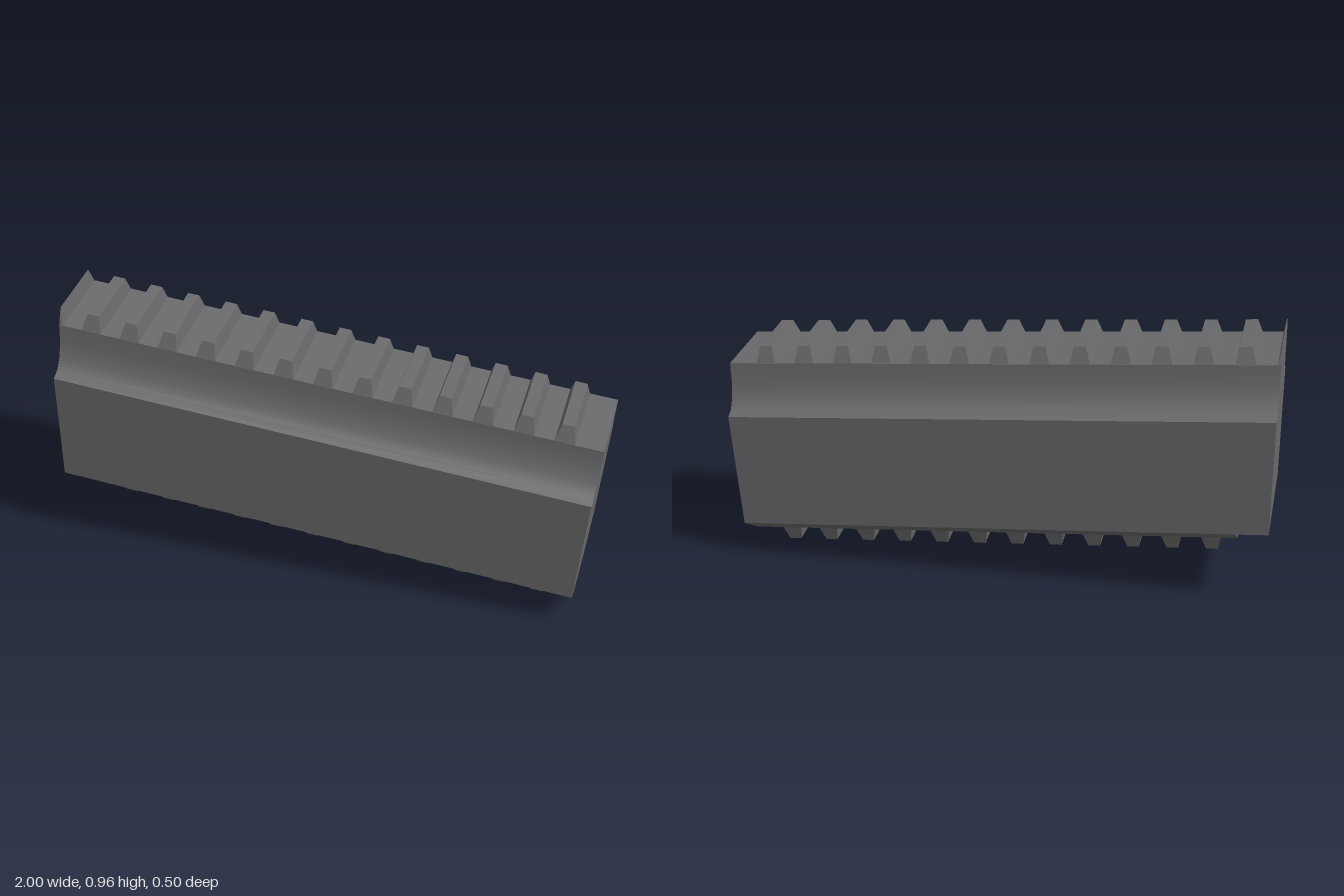
import * as THREE from 'three';
import { toCreasedNormals } from 'three/addons/utils/BufferGeometryUtils.js';

const TILT = 0.08, S = Math.sin(TILT), C = Math.cos(TILT);

// local x, at local height h, of the upright cut plane at overall x = X
const cutAt = (X, h) => (X - 1 - h * S) / C;

// half profile of [halfWidth, height] mirrored, run from the square end to the upright cut
function prism(half, X) {
  const pts = [...half, ...half.map(([z, h]) => [-z, h]).reverse()];
  const shape = new THREE.Shape(pts.map(([z, h]) => new THREE.Vector2(z, h)));
  const geo = new THREE.ExtrudeGeometry(shape, { depth: 1, bevelEnabled: false });
  geo.rotateY(-Math.PI / 2); // depth runs to -x, profile width to +z
  const p = geo.attributes.position;
  for (let i = 0; i < p.count; i++) {
    if (p.getX(i) < -0.5) p.setX(i, cutAt(X, p.getY(i)));
  }
  return toCreasedNormals(geo, 0.65);
}

// tapered tooth; dir is 1 for upward and -1 for hanging teeth
function tooth(x, base, dir, baseHalf, tipHalf) {
  const geo = new THREE.BoxGeometry(2, 1, 2).toNonIndexed();
  const p = geo.attributes.position;
  for (let i = 0; i < p.count; i++) {
    const tip = p.getY(i) * dir > 0;
    const y = base + (tip ? 0.058 * dir : 0);
    const px = x + p.getX(i) * (tip ? 0.022 : 0.036);
    p.setXYZ(i, Math.max(px, cutAt(-1, y)), y, p.getZ(i) * (tip ? tipHalf : baseHalf));
  }
  geo.computeVertexNormals();
  return geo;
}

export function createModel() {
  const model = new THREE.Group();
  model.name = 'railBlock';
  const grey = new THREE.MeshStandardMaterial({ color: 0x6a6a6c });
  grey.name = 'dark grey';

  const block = new THREE.Group();
  block.name = 'tiltedBlock';
  block.position.set(1, 0.74, 0);
  block.rotation.z = -TILT;
  model.add(block);

  const add = (name, geo) => {
    const mesh = new THREE.Mesh(geo, grey);
    mesh.name = name;
    block.add(mesh);
  };

  // main bar with hollow shoulders
  add('body', prism([[0.25, -0.612], [0.25, -0.175], [0.215, -0.162],
    [0.185, -0.125], [0.165, -0.07], [0.157, 0]], -1));
  // narrowing underside, starting a little in from the cut end
  add('underside', prism([[0.127, -0.692], [0.25, -0.612]], -0.885));

  // teeth along both edges; the last upper one is sliced by the cut end
  for (let i = 0; i < 14; i++) {
    const x = -0.1385 - i * 0.1455;
    add('upperTooth', tooth(x, 0, 1, 0.156, 0.131));
    if (i < 12) add('lowerTooth', tooth(x, -0.692, -1, 0.126, 0.105));
  }
  return model;
}
